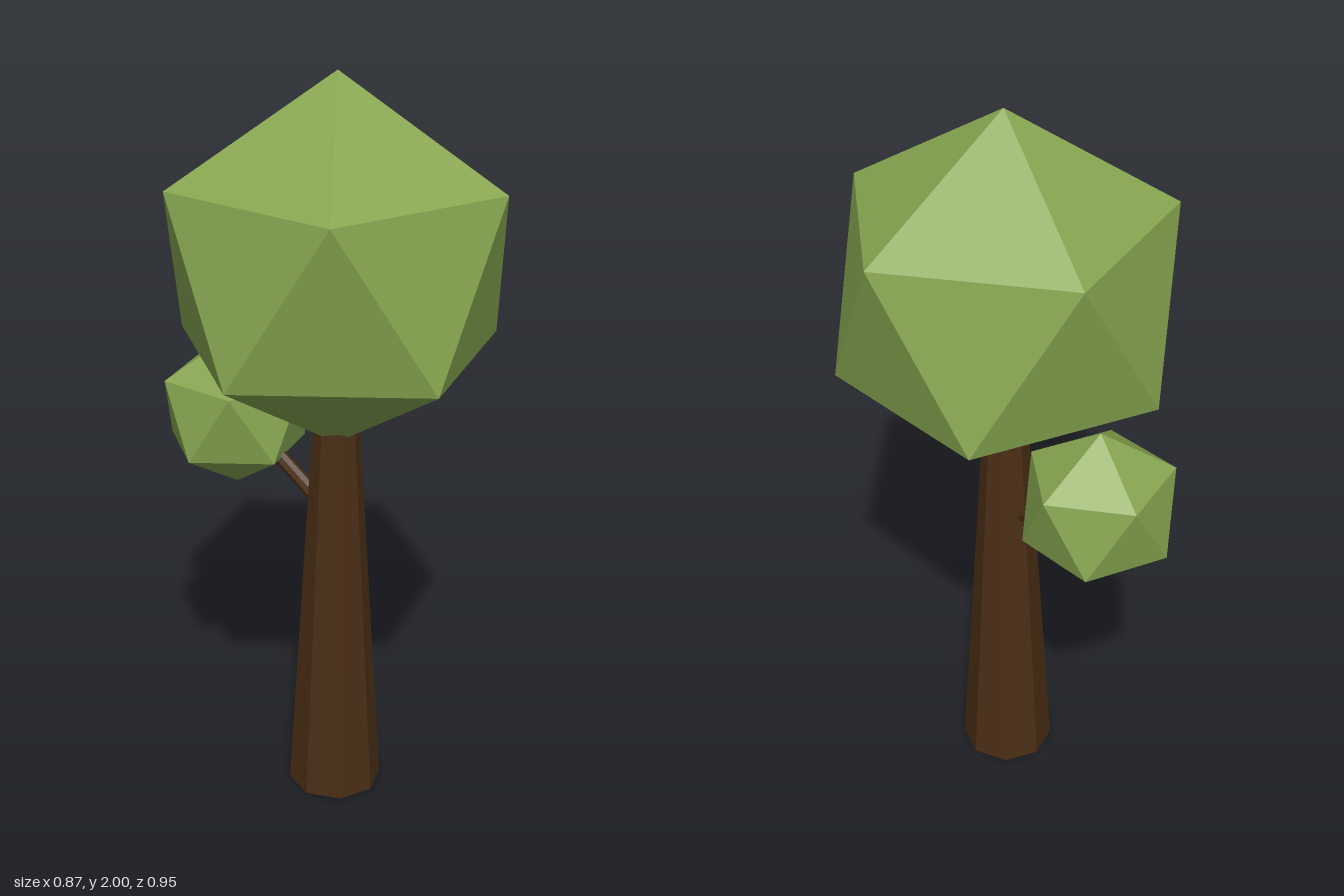
import * as THREE from 'three';
import { ConvexGeometry } from 'three/addons/geometries/ConvexGeometry.js';

const bark = new THREE.MeshStandardMaterial({ color: 0x4a2e15, flatShading: true });
const leaf = new THREE.MeshStandardMaterial({ color: 0x86a650, flatShading: true });

// Icosahedron standing on a vertex: two poles and two staggered rings of five
function foliage(name, radius, y, z) {
  const points = [new THREE.Vector3(0, radius, 0), new THREE.Vector3(0, -radius, 0)];
  const ringY = radius / Math.sqrt(5);
  for (let i = 0; i < 10; i++) {
    const a = (i * Math.PI) / 5;
    const up = i % 2 === 0 ? 1 : -1;
    points.push(new THREE.Vector3(2 * ringY * Math.cos(a), up * ringY, 2 * ringY * Math.sin(a)));
  }
  const mesh = new THREE.Mesh(new ConvexGeometry(points), leaf);
  mesh.name = name;
  mesh.position.set(0, y, z);
  return mesh;
}

// Tapered eight-sided limb between two points
function limb(name, from, to, r0, r1) {
  const dir = to.clone().sub(from);
  const mesh = new THREE.Mesh(new THREE.CylinderGeometry(r1, r0, dir.length(), 8), bark);
  mesh.name = name;
  mesh.position.copy(from).add(to).multiplyScalar(0.5);
  mesh.quaternion.setFromUnitVectors(new THREE.Vector3(0, 1, 0), dir.normalize());
  return mesh;
}

export function createModel() {
  const tree = new THREE.Group();
  tree.name = 'tree';
  const v = (x, y, z) => new THREE.Vector3(x, y, z);
  tree.add(
    limb('trunk', v(0, 0, 0.06), v(0, 1.11, 0.06), 0.128, 0.06),
    limb('branch', v(0, 0.82, 0.04), v(0, 0.98, -0.2), 0.021, 0.019),
    foliage('crown', 0.486, 1.514, 0.06),
    foliage('smallFoliage', 0.218, 1.037, -0.288),
  );
  return tree;
}
